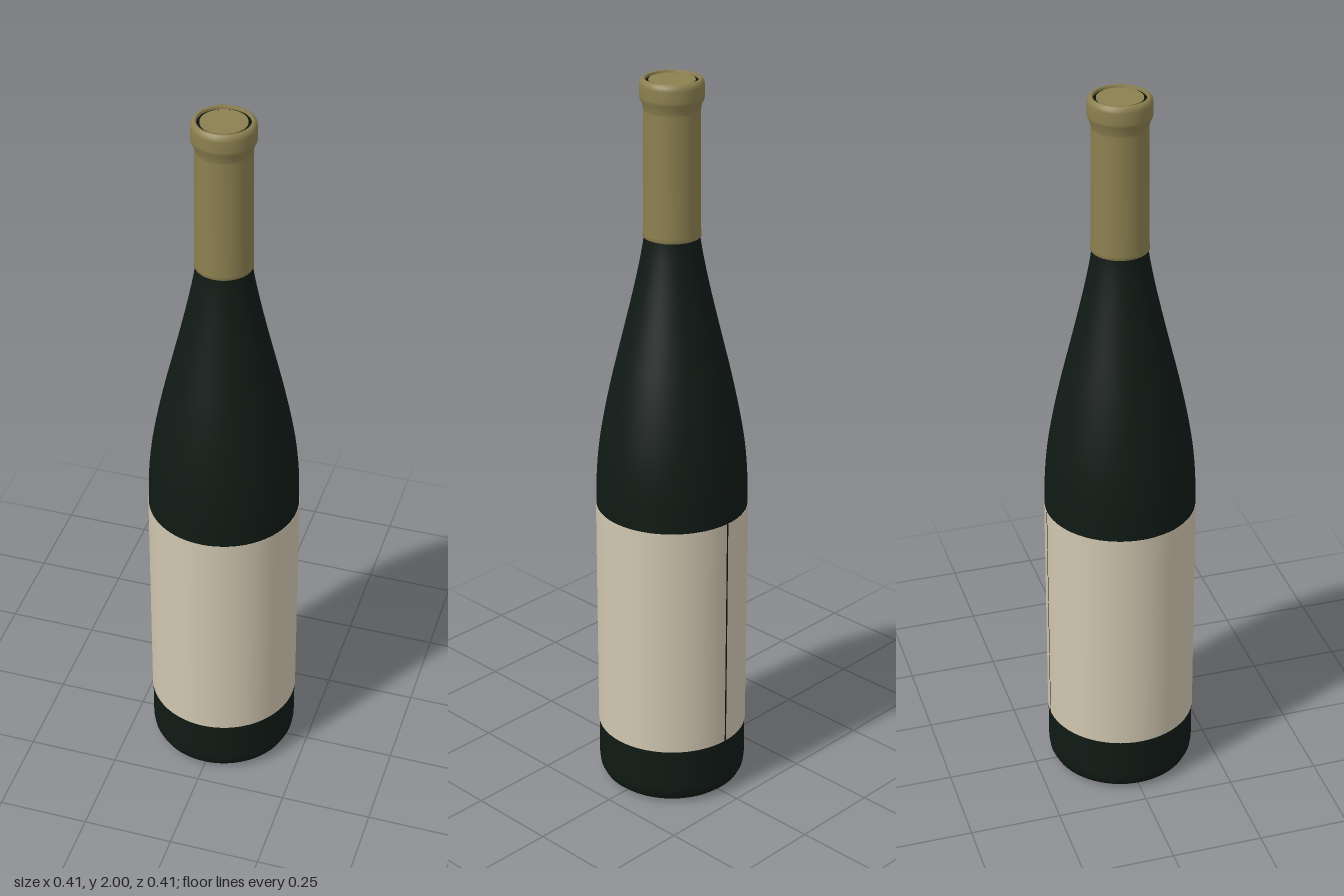
import * as THREE from 'three';

const SEGMENTS = 64;
const material = (color) => new THREE.MeshStandardMaterial({ color, side: THREE.DoubleSide });
const points = (list) => list.map(([r, y]) => new THREE.Vector2(r, y));

export function createModel() {
  const bottle = new THREE.Group();
  bottle.name = 'wineBottle';
  const glass = material(0x101a15);
  const gold = material(0x8c8050);
  const paper = material(0xd0c6b0);

  function addLathe(name, profile, mat, start = 0, sweep = Math.PI * 2) {
    const mesh = new THREE.Mesh(new THREE.LatheGeometry(profile, SEGMENTS, start, sweep), mat);
    mesh.name = name;
    bottle.add(mesh);
    return mesh;
  }

  // Glass: hollow punt under the base, rounded heel, straight wall
  const base = points([
    [0, 0.07], [0.05, 0.065], [0.1, 0.045], [0.14, 0.012], [0.152, 0.002], [0.165, 0],
    [0.18, 0.004], [0.192, 0.014], [0.2, 0.03], [0.203, 0.05], [0.203, 0.83],
  ]);
  // Long sloping shoulder flowing into the neck
  const shoulder = new THREE.SplineCurve(points([
    [0.203, 0.83], [0.201, 0.92], [0.193, 1.01], [0.178, 1.1], [0.157, 1.2],
    [0.133, 1.3], [0.109, 1.4], [0.087, 1.5], [0.073, 1.58], [0.07, 1.64],
  ])).getPoints(40).slice(1);
  // Neck and the mouth ring that shows around the cork
  const mouth = points([[0.069, 1.8], [0.069, 1.992], [0.056, 1.992], [0.056, 1.9]]);
  addLathe('glassBody', [...base, ...shoulder, ...mouth], glass);

  // Label wrapped around the body, with a narrow seam at the back
  const gap = 0.025;
  addLathe('label', points([[0.2032, 0.168], [0.2045, 0.168], [0.2045, 0.833], [0.2032, 0.833]]),
    paper, Math.PI + gap / 2, Math.PI * 2 - gap);

  // Foil sleeve over the neck
  addLathe('foilSleeve', points([
    [0.072, 1.588], [0.0755, 1.588], [0.0755, 1.6], [0.0745, 1.603],
    [0.0735, 1.75], [0.0725, 1.9], [0.0725, 1.925],
  ]), gold);

  // Foil collar around the lip
  addLathe('foilLip', points([
    [0.0725, 1.92], [0.075, 1.935], [0.081, 1.947], [0.082, 1.955], [0.082, 1.984],
    [0.08, 1.993], [0.075, 1.999], [0.07, 2], [0.067, 1.998], [0.067, 1.988],
  ]), gold);

  // Cork closing the mouth
  const cork = new THREE.Mesh(new THREE.CylinderGeometry(0.059, 0.059, 0.1, SEGMENTS), gold);
  cork.name = 'cork';
  cork.position.y = 1.946;
  bottle.add(cork);

  return bottle;
}
